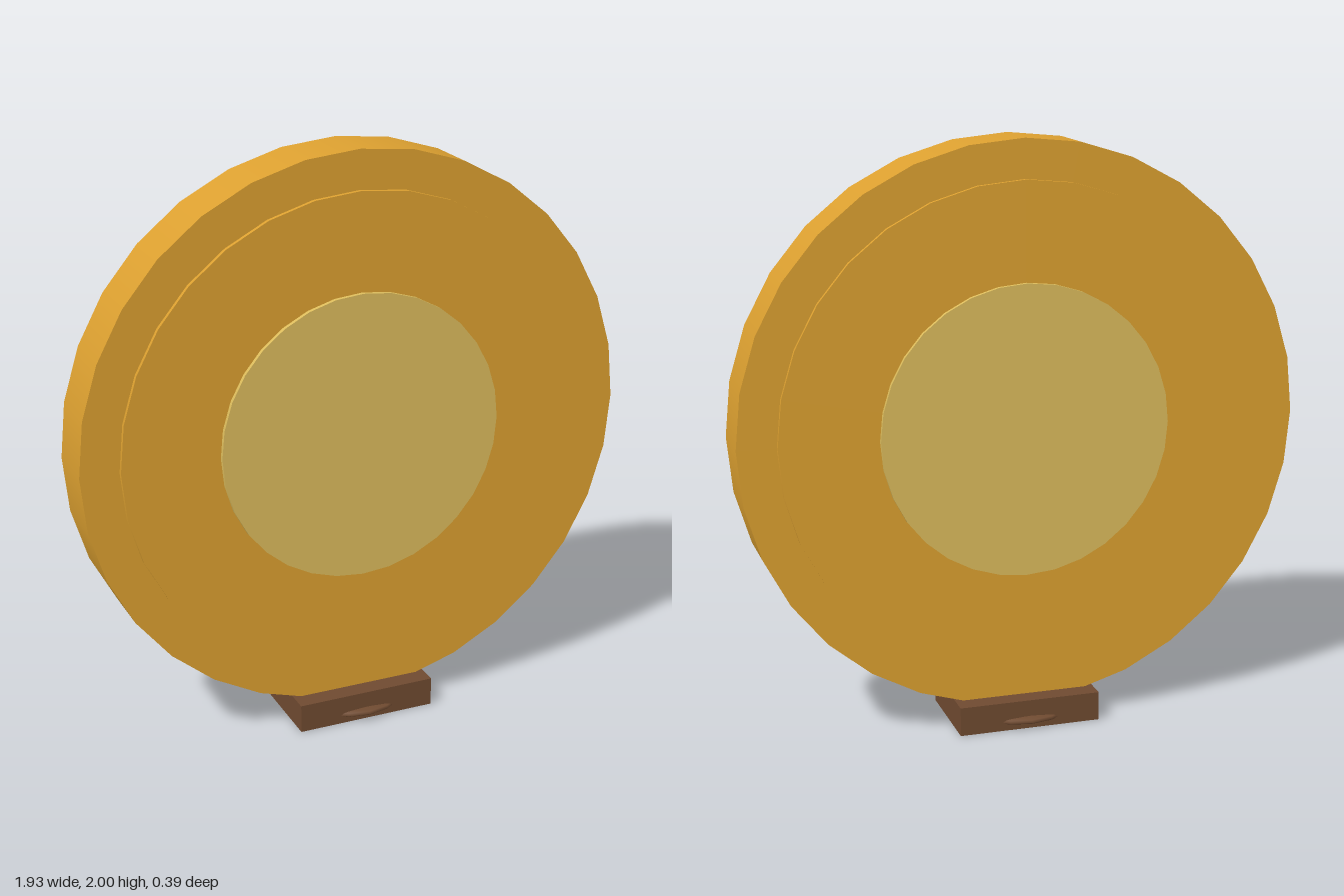
import * as THREE from 'three';

export function createModel() {
  const model = new THREE.Group();
  model.name = 'discOnStand';

  const material = (name, color) => {
    const m = new THREE.MeshStandardMaterial({ color });
    m.name = name;
    return m;
  };
  const gold = material('gold', 0xdca030);
  const paleGold = material('paleGold', 0xdcbc5c);
  const brown = material('brown', 0x6f4a30);

  const add = (name, geometry, mat, y) => {
    const mesh = new THREE.Mesh(geometry, mat);
    mesh.name = name;
    mesh.position.y = y;
    model.add(mesh);
    return mesh;
  };

  // Upright coin: rim, raised face and centre medallion step out on both sides
  const centreY = 1.036;
  const disc = (name, radius, depth, mat) =>
    add(name, new THREE.CylinderGeometry(radius, radius, depth, 32).rotateX(Math.PI / 2), mat, centreY);
  disc('rim', 0.964, 0.2, gold);
  disc('raisedFace', 0.832, 0.23, gold);
  disc('centreMedallion', 0.497, 0.26, paleGold);

  // Foot block with a flattened boss bulging from its front and back
  add('base', new THREE.BoxGeometry(0.494, 0.1, 0.332), brown, 0.05);
  add('baseBoss', new THREE.SphereGeometry(0.196, 16, 12), brown, 0.03).scale.y = 0.13;

  return model;
}
